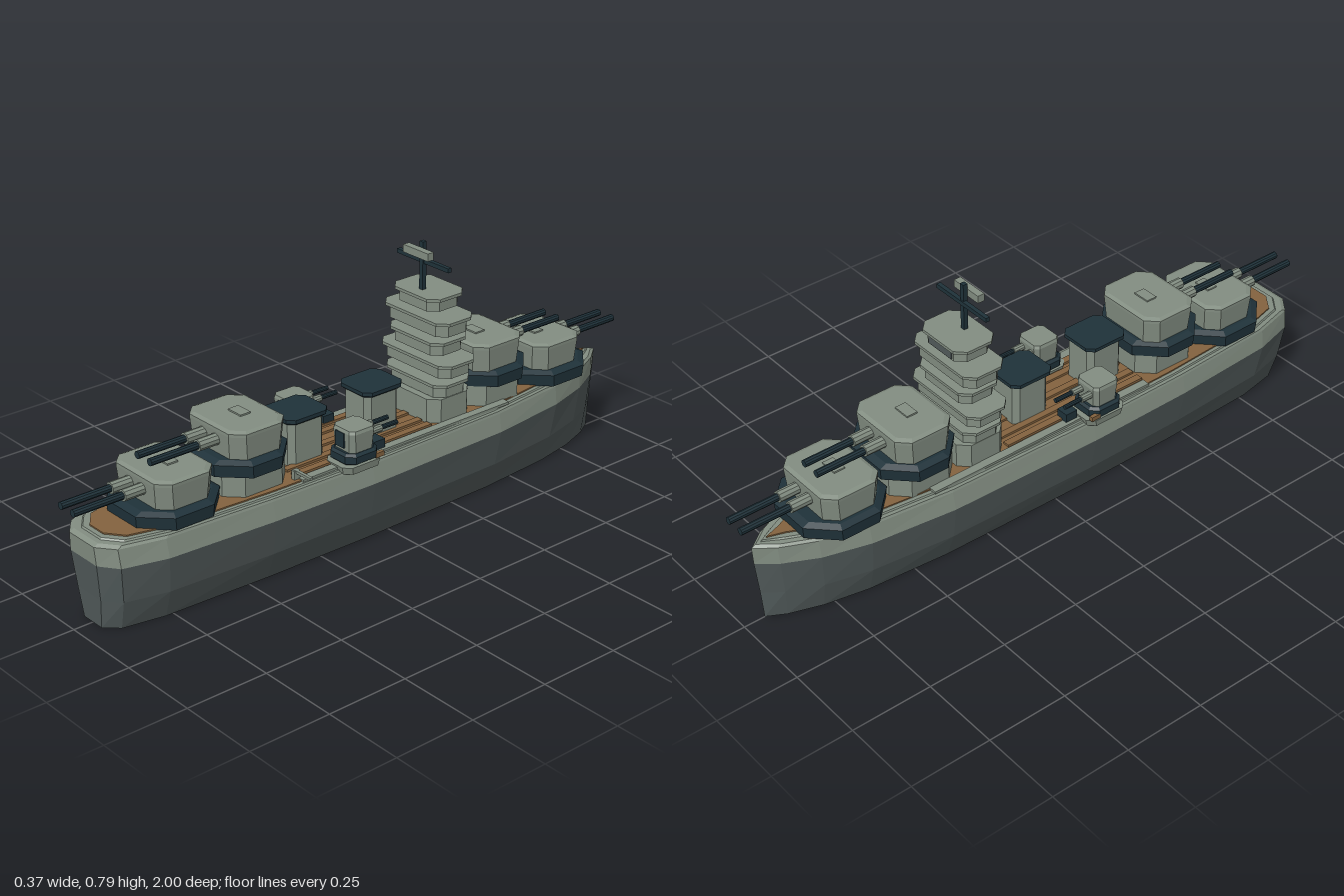
import * as THREE from 'three';

const mat = (name, color, side = THREE.FrontSide) => {
  const m = new THREE.MeshStandardMaterial({ color, side });
  m.name = name;
  m.flatShading = true;
  return m;
};

// Flat-sided solid through convex rings of [x, y, z], listed bottom to top
function loft(rings, bottom = true, top = true) {
  const v = [];
  const tri = (...p) => p.forEach(q => v.push(...q));
  const n = rings[0].length;
  for (let r = 0; r + 1 < rings.length; r++) {
    for (let i = 0; i < n; i++) {
      const j = (i + 1) % n, a = rings[r], b = rings[r + 1];
      tri(a[i], a[j], b[j]);
      tri(a[i], b[j], b[i]);
    }
  }
  const lo = rings[0], hi = rings[rings.length - 1];
  for (let i = 1; i + 1 < n; i++) {
    if (bottom) tri(lo[0], lo[i + 1], lo[i]);
    if (top) tri(hi[0], hi[i], hi[i + 1]);
  }
  const g = new THREE.BufferGeometry();
  g.setAttribute('position', new THREE.Float32BufferAttribute(v, 3));
  g.computeVertexNormals();
  return g;
}

// Rectangle with cut corners: half width, half depth, corner cut
const oct = (y, w, d, c) => [
  [w - c, y, d], [w, y, d - c], [w, y, c - d], [w - c, y, -d],
  [c - w, y, -d], [-w, y, c - d], [-w, y, d - c], [c - w, y, d]];

// Hull plan, stern to bow, as half width and z
const plan = [[0.06, 0.96], [0.115, 0.92], [0.15, 0.79], [0.17, 0.45], [0.176, 0.1],
  [0.165, -0.4], [0.134, -0.66], [0.095, -0.8], [0.045, -0.9]];
function hullRing(y, sx, sz, inset = 0) {
  const side = plan.map(([x, z]) => [Math.max(x * sx - inset, 0.012), z * sz]);
  return [...side.map(([x, z]) => [x, y, z]), [0, y, -0.955 * sz],
    ...side.reverse().map(([x, z]) => [-x, y, z])];
}

export function createModel() {
  const ship = new THREE.Group();
  ship.name = 'warship';
  const grey = mat('light grey paint', 0x838e82, THREE.DoubleSide);
  const hullGrey = mat('hull grey', 0x525b5b, THREE.DoubleSide);
  const navy = mat('dark blue steel', 0x1f323a);
  const wood = mat('deck wood', 0x84633f);

  const add = (parent, name, geo, material, x = 0, y = 0, z = 0) => {
    const m = new THREE.Mesh(geo, material);
    m.name = name;
    m.position.set(x, y, z);
    parent.add(m);
    return m;
  };
  const group = (name, x, y, z) => {
    const g = new THREE.Group();
    g.name = name;
    g.position.set(x, y, z);
    ship.add(g);
    return g;
  };
  const box = (w, h, d) => new THREE.BoxGeometry(w, h, d);
  const rod = (r, len) => new THREE.CylinderGeometry(r, r, len, 10).rotateX(Math.PI / 2);

  // Hull shell, open underneath, with upper band and deck
  const belt = hullRing(0.2, 1, 0.997);
  add(ship, 'lowerHull', loft([hullRing(0, 0.67, 0.978), hullRing(0.09, 0.885, 0.985), belt], false, false), hullGrey);
  add(ship, 'upperHull', loft([belt, hullRing(0.255, 0.935, 1), hullRing(0.262, 0.92, 0.985)], false, true), grey);
  add(ship, 'deckEdge', loft([hullRing(0.26, 0.92, 0.97, 0.01), hullRing(0.267, 0.92, 0.965, 0.013)], false), grey);
  add(ship, 'deck', loft([hullRing(0.262, 0.92, 0.95, 0.024), hullRing(0.271, 0.92, 0.95, 0.024)], false), wood);
  for (const s of [-1, 1]) {
    add(ship, 'sideWalkway', box(0.026, 0.008, 0.78), grey, s * 0.128, 0.27, -0.06);
  }
  for (const x of [-0.1, -0.06, 0, 0.06, 0.1]) {
    add(ship, 'deckPlank', box(0.022, 0.008, 0.5), wood, x, 0.274, 0.08);
  }

  // Main gun turrets, the inner pair raised on a barbette
  function turret(z, raised) {
    const t = group(raised ? 'raisedTurret' : 'lowTurret', 0, raised ? 0.335 : 0.268, z);
    if (z < 0) t.rotation.y = Math.PI;
    if (raised) {
      add(t, 'barbette', loft([oct(-0.067, 0.115, 0.108, 0.045), oct(0.003, 0.115, 0.108, 0.045)]), grey);
    }
    const k = raised ? 0.126 : 0.138;
    add(t, 'turretRing', loft([oct(0, 0.141, k - 0.003, 0.075), oct(0.036, 0.143, k, 0.075),
      oct(0.045, 0.125, k - 0.022, 0.06)]), navy, 0, 0, 0.006);
    add(t, 'turretHouse', loft([oct(0.043, 0.115, 0.088, 0.034), oct(0.113, 0.12, 0.094, 0.034),
      oct(0.122, 0.12, 0.094, 0.034), oct(0.127, 0.108, 0.082, 0.03)]), grey);
    add(t, 'roofHatch', box(0.055, 0.007, 0.035), grey, 0, 0.128, -0.01);
    for (const x of [-0.028, 0.028]) {
      add(t, 'gunSleeve', rod(0.017, 0.08), grey, x, 0.088, 0.115);
      add(t, 'gunBarrel', rod(0.011, 0.225), navy, x, 0.088, 0.1975);
    }
  }
  turret(0.69, false);
  turret(0.445, true);
  turret(-0.445, true);
  turret(-0.69, false);

  // Bridge tower: solid base and separate flared tiers
  const tower = group('bridgeTower', 0, 0, -0.253);
  add(tower, 'towerBase', loft([oct(0.265, 0.115, 0.08, 0.03), oct(0.345, 0.115, 0.08, 0.03)]), grey);
  const tiers = [[0.347, 0.39, 0.128], [0.413, 0.456, 0.148], [0.473, 0.516, 0.113],
    [0.537, 0.583, 0.135], [0.603, 0.645, 0.095]];
  for (const [y0, y1, w] of tiers) {
    add(tower, 'towerTier', loft([oct(y0, w - 0.012, 0.06, 0.026), oct(y1 - 0.009, w - 0.012, 0.06, 0.026),
      oct(y1 - 0.009, w, 0.069, 0.028), oct(y1, w, 0.069, 0.028)]), grey);
  }
  add(tower, 'bridgeWindow', box(0.1, 0.024, 0.004), hullGrey, 0, 0.619, -0.061);

  // Mast with yard and aerial
  add(ship, 'mast', box(0.014, 0.19, 0.014), navy, 0, 0.695, -0.23);
  add(ship, 'yard', box(0.215, 0.013, 0.013), navy, 0, 0.731, -0.234);
  add(ship, 'aerial', box(0.104, 0.023, 0.022), grey, 0, 0.761, -0.212);

  // Funnels
  for (const z of [-0.033, 0.243]) {
    const f = group('funnel', 0.004, 0, z);
    add(f, 'funnelBody', loft([oct(0.268, 0.055, 0.062, 0.016), oct(0.406, 0.055, 0.062, 0.016)]), grey);
    add(f, 'funnelCap', loft([oct(0.4, 0.06, 0.066, 0.018), oct(0.406, 0.067, 0.073, 0.02),
      oct(0.417, 0.067, 0.073, 0.02)]), navy);
  }

  // Side gun mounts facing the bow
  for (const s of [-1, 1]) {
    const m = group('sideMount', s * 0.131, 0, 0.14);
    add(m, 'mountPlatform', loft([oct(0.258, 0.05, 0.065, 0.02), oct(0.28, 0.053, 0.07, 0.02)]), grey);
    add(m, 'mountRing', loft([oct(0.28, 0.042, 0.05, 0.018), oct(0.287, 0.053, 0.058, 0.022),
      oct(0.308, 0.053, 0.058, 0.022), oct(0.315, 0.044, 0.05, 0.018)]), navy);
    add(m, 'mountHouse', loft([oct(0.313, 0.042, 0.042, 0.013), oct(0.372, 0.046, 0.046, 0.013),
      oct(0.381, 0.043, 0.043, 0.012)]), grey);
    add(m, 'mountPanel', box(0.036, 0.045, 0.005), navy, -s * 0.005, 0.348, 0.046);
    for (const x of [-0.02, 0.02]) {
      add(m, 'mountSleeve', rod(0.011, 0.04), grey, x, 0.352, -0.06);
      add(m, 'mountBarrel', rod(0.007, 0.1), navy, x, 0.352, -0.09);
    }
    add(m, 'ammoLocker', box(0.04, 0.035, 0.04), navy, -s * 0.02, 0.283, -0.095);
    add(m, 'sideCrate', box(0.012, 0.014, 0.03), wood, s * 0.048, 0.291, -0.05);
  }

  // Boat crane beside the aft funnel
  add(ship, 'cranePost', box(0.014, 0.03, 0.02), grey, 0.115, 0.282, 0.335);
  add(ship, 'craneBoom', box(0.075, 0.008, 0.01), grey, 0.145, 0.294, 0.335);
  return ship;
}
